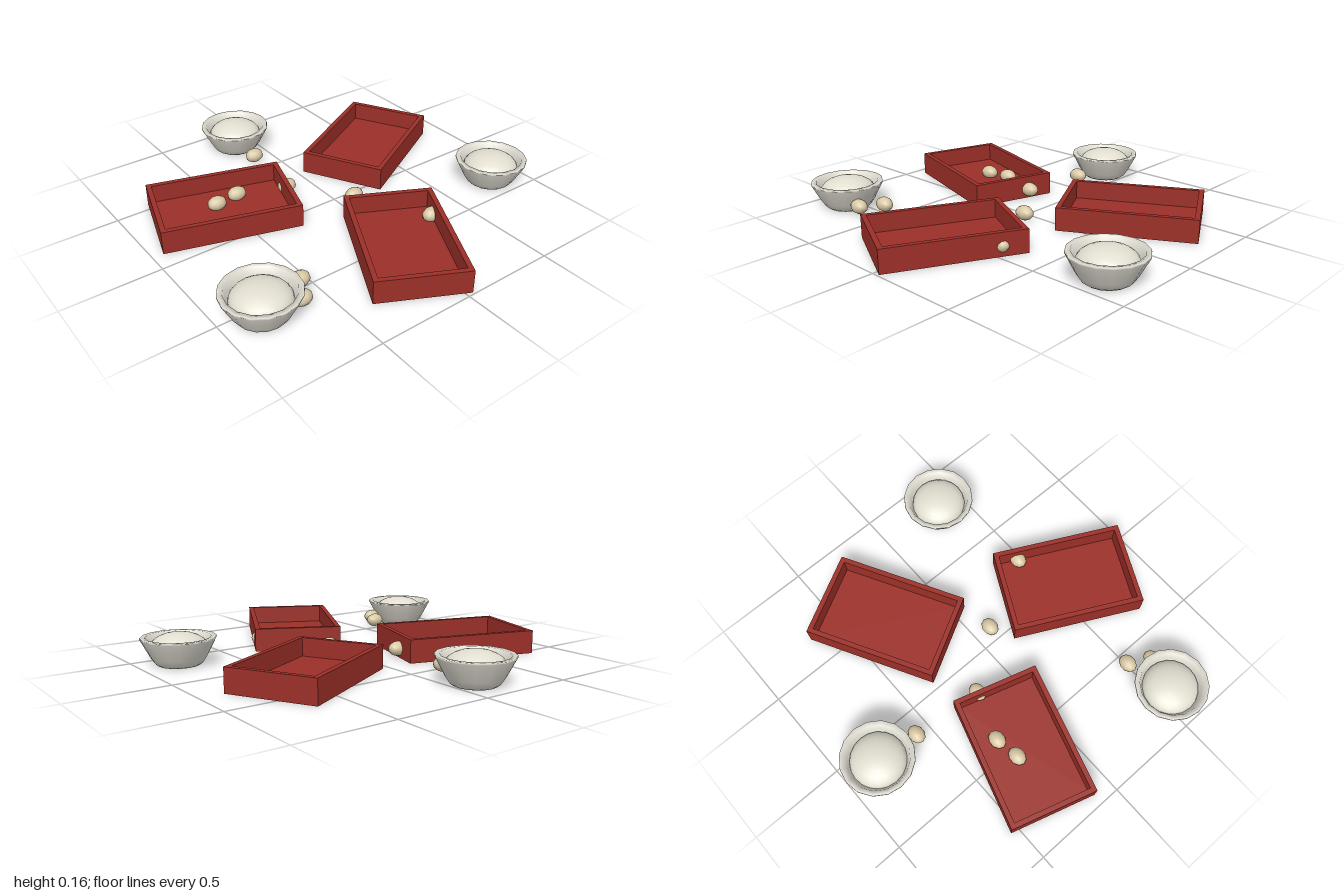
import * as THREE from 'three';

const mat = (name, color) => {
  const m = new THREE.MeshStandardMaterial({ color });
  m.name = name;
  return m;
};

export function createModel() {
  const red = mat('lacquerRed', 0x9c2f28);
  const ceramic = mat('ceramicWhite', 0xdedbd0);
  const rice = mat('riceWhite', 0xe2dfd1);
  const bun = mat('bunTan', 0xd8c8a4);

  const model = new THREE.Group();
  model.name = 'tableSetting';
  const add = (parent, name, geometry, material, x = 0, y = 0, z = 0) => {
    const mesh = new THREE.Mesh(geometry, material);
    mesh.name = name;
    mesh.position.set(x, y, z);
    parent.add(mesh);
    return mesh;
  };

  // Open rectangular trays: a floor and four walls
  const L = 0.705, W = 0.46, H = 0.122, T = 0.026, F = 0.026;
  const floorGeo = new THREE.BoxGeometry(L - 2 * T, F, W - 2 * T);
  const longWall = new THREE.BoxGeometry(L, H, T);
  const shortWall = new THREE.BoxGeometry(T, H, W - 2 * T);
  const trays = [
    [-0.54, -0.22, -0.295],
    [0.457, -0.3, 0.5],
    [-0.012, 0.572, 1.1],
  ];
  for (const [x, z, turn] of trays) {
    const tray = new THREE.Group();
    tray.name = 'tray';
    tray.position.set(x, 0, z);
    tray.rotation.y = turn;
    add(tray, 'trayFloor', floorGeo, red, 0, F / 2, 0);
    for (const s of [-1, 1]) {
      add(tray, 'longWall', longWall, red, 0, H / 2, s * (W - T) / 2);
      add(tray, 'shortWall', shortWall, red, s * (L - T) / 2, H / 2, 0);
    }
    model.add(tray);
  }

  // Bowls with a rounded heap inside
  const profile = [
    [0, 0], [0.105, 0], [0.122, 0.012], [0.142, 0.042], [0.166, 0.088],
    [0.19, 0.134], [0.189, 0.142], [0.164, 0.142], [0.152, 0.105], [0.125, 0.05], [0, 0.025],
  ].map(([r, y]) => new THREE.Vector2(r, y));
  const bowlGeo = new THREE.LatheGeometry(profile, 16);
  const heapGeo = new THREE.SphereGeometry(0.145, 20, 12).scale(1, 0.52, 1);
  for (const [x, z] of [[-0.115, -0.81], [0.8, 0.35], [-0.805, 0.553]]) {
    const bowl = new THREE.Group();
    bowl.name = 'bowl';
    bowl.position.set(x, 0, z);
    add(bowl, 'bowlShell', bowlGeo, ceramic);
    add(bowl, 'riceHeap', heapGeo, rice, 0, 0.089, 0);
    model.add(bowl);
  }

  // Small oval buns scattered around
  const bunGeo = new THREE.SphereGeometry(1, 10, 8).scale(0.052, 0.038, 0.041);
  const buns = [
    [-0.55, -0.27], [-0.42, -0.29], [-0.165, -0.2], [0.065, 0.087],
    [0.263, 0.465], [-0.565, 0.495], [-0.632, 0.608], [-0.13, -0.58],
  ];
  for (const [x, z] of buns) add(model, 'bun', bunGeo, bun, x, 0.05, z);

  return model;
}
